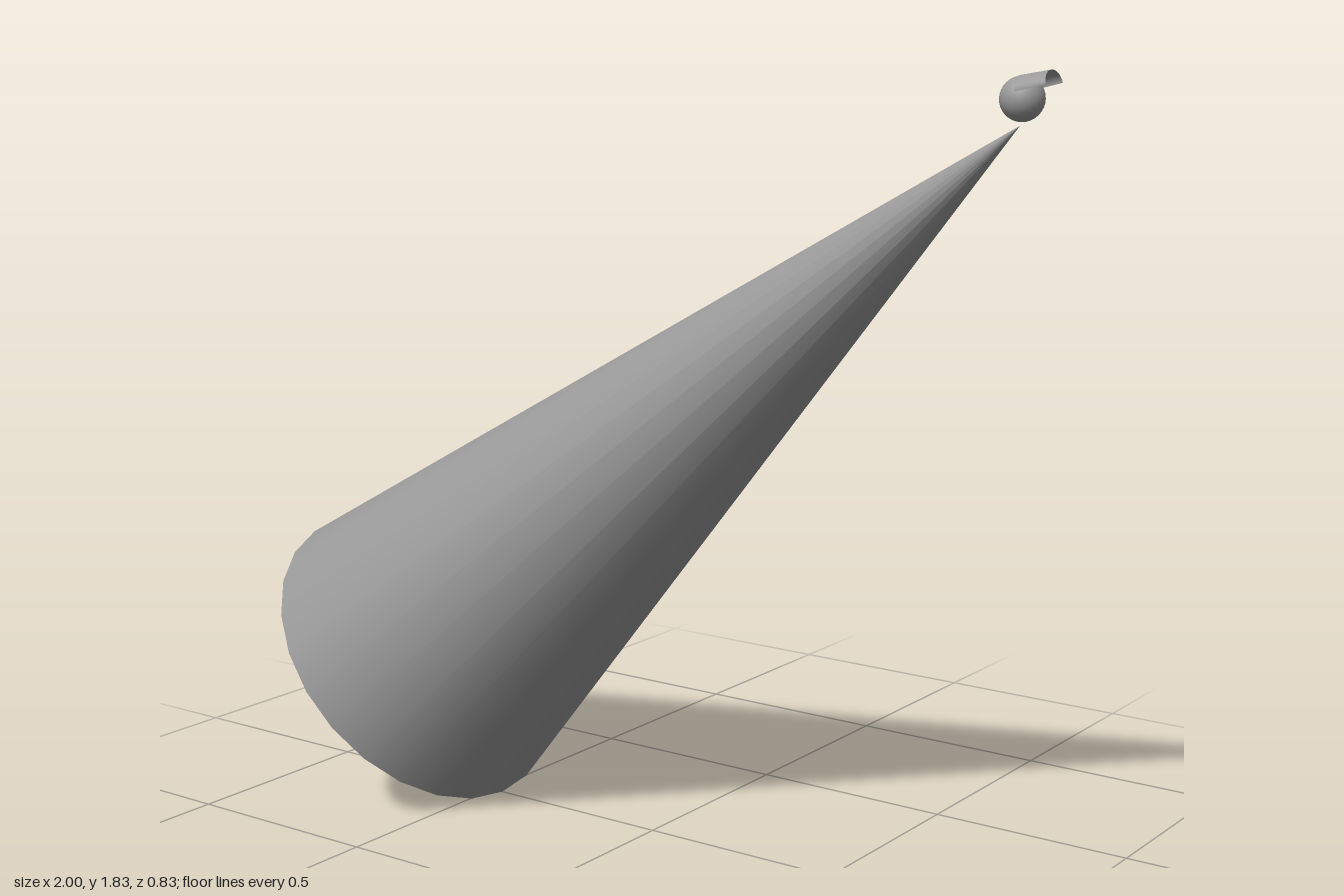
import * as THREE from 'three';

const darkGrey = new THREE.MeshStandardMaterial({ color: 0x999999, side: THREE.DoubleSide });

function add(group, name, geometry) {
  const mesh = new THREE.Mesh(geometry, darkGrey);
  mesh.name = name;
  group.add(mesh);
  return mesh;
}

export function createModel() {
  const model = new THREE.Group();
  model.name = 'spotlight';

  // Open cone of light, slanting down from the lamp
  const base = new THREE.Vector3(-0.735, 0.32, 0);
  const apex = new THREE.Vector3(0.922, 1.715, 0);
  const axis = apex.clone().sub(base);
  const beam = add(model, 'lightBeam', new THREE.ConeGeometry(0.414, axis.length(), 24, 1, true));
  beam.position.copy(base).add(apex).multiplyScalar(0.5);
  beam.quaternion.setFromUnitVectors(new THREE.Vector3(0, 1, 0), axis.normalize());

  // Round lamp body
  const body = add(model, 'lampBody', new THREE.SphereGeometry(0.047, 24, 16));
  body.position.set(0.925, 1.769, 0);

  // Arched hood: an upper half tube tapering away from the body
  const arch = new THREE.CylinderGeometry(0.038, 0.044, 0.068, 16, 1, true, 0, Math.PI);
  arch.rotateZ(Math.PI / 2); // arch opens downward, axis along x
  arch.rotateY(Math.PI);
  arch.scale(1, 0.75, 1);
  const hood = add(model, 'hood', arch);
  hood.position.set(0.962, 1.793, 0);
  hood.rotation.z = 0.24;

  return model;
}
